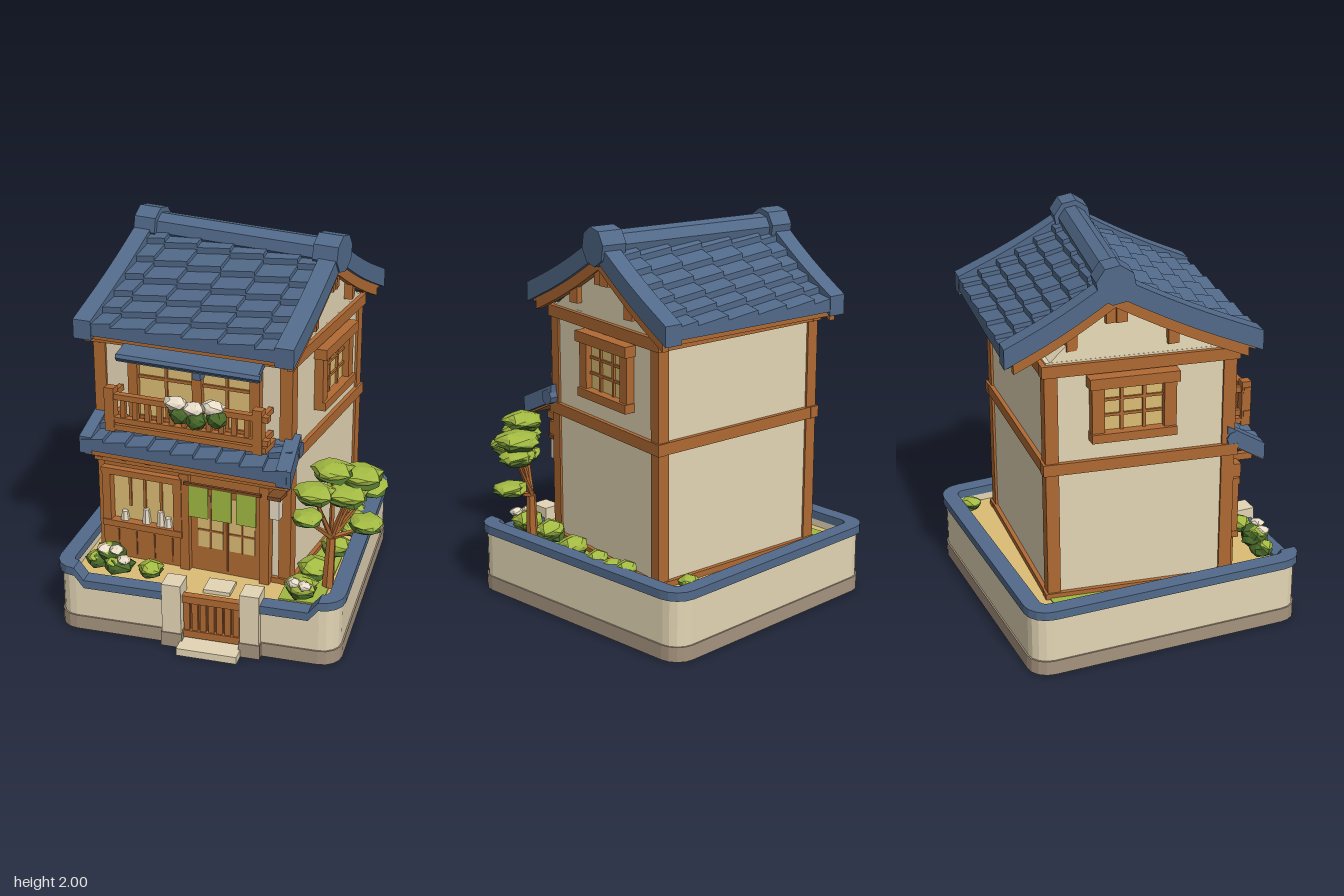
import * as THREE from 'three';
import { mergeGeometries } from 'three/addons/utils/BufferGeometryUtils.js';

const V = (x, y, z) => new THREE.Vector3(x, y, z);
const mat = (name, color) => {
  const m = new THREE.MeshStandardMaterial({ color });
  m.name = name;
  return m;
};

export function createModel() {
  const root = new THREE.Group();
  const blue = mat('roof blue', 0x526a8a), wood = mat('wood', 0xb06a33), darkWood = mat('dark wood', 0x7d4a24);
  const cream = mat('plaster', 0xe4d6b5), stone = mat('plinth stone', 0xa6947f), tan = mat('warm tan', 0xdcbd74);
  const leaf = mat('leaf green', 0xa2b942), deep = mat('deep green', 0x4a6a2a);
  const petal = mat('petal', 0xe8dcc6), earth = mat('dark earth', 0x573c27);

  const add = (name, m, geo) => {
    const flat = geo.index ? geo.toNonIndexed() : geo;
    flat.computeVertexNormals();
    const mesh = new THREE.Mesh(flat, m);
    mesh.name = name;
    root.add(mesh);
    return mesh;
  };
  // A box whose unit coordinates are bent by a rule f(x, y, z) -> Vector3
  const slab = (f) => {
    const g = new THREE.BoxGeometry(1, 1, 1).toNonIndexed(), p = g.attributes.position;
    for (let i = 0; i < p.count; i++) {
      const q = f(p.getX(i) + 0.5, p.getY(i) + 0.5, p.getZ(i) + 0.5);
      p.setXYZ(i, q.x, q.y, q.z);
    }
    return g;
  };
  const mix = THREE.MathUtils.lerp;
  const box = (name, m, x0, x1, y0, y1, z0, z1) =>
    add(name, m, slab((x, y, z) => V(mix(x0, x1, x), mix(y0, y1, y), mix(z0, z1, z))));
  const rod = (name, m, a, b, r0, r1 = r0, sides = 8) => {
    const d = b.clone().sub(a), g = new THREE.CylinderGeometry(r1, r0, d.length(), sides);
    g.applyQuaternion(new THREE.Quaternion().setFromUnitVectors(V(0, 1, 0), d.normalize()));
    g.translate((a.x + b.x) / 2, (a.y + b.y) / 2, (a.z + b.z) / 2);
    return add(name, m, g);
  };
  // House frame: turned and slightly skewed on its plot
  const H = (u, y, v) => V(-0.085 + u - 0.16 * v, y, -0.085 + 0.085 * u + v);
  const hbox = (name, m, u0, u1, y0, y1, v0, v1) =>
    add(name, m, slab((x, y, z) => H(mix(u0, u1, x), mix(y0, y1, y), mix(v0, v1, z))));
  const front = (name, m, x0, x1, y0, y1, d0, d1) =>
    hbox(name, m, x0 + 0.16, x1 + 0.16, y0, y1, 0.465 + d0, 0.465 + d1);
  const sides = (name, m, v0, v1, y0, y1, d0, d1) => {
    hbox(name, m, 0.52 + d0, 0.52 + d1, y0, y1, v0, v1);
    hbox(name, m, -0.52 - d1, -0.52 - d0, y0, y1, v0, v1);
  };

  // Plot wall: loop of [x, z, normal x, normal z, height]
  const loop = [[-0.18, 0.68, 0, 1, 0.3], [-0.65, 0.68, 0, 1, 0.3]];
  [[-0.7, 0.58], [-0.7, -0.66], [0.57, -0.66], [0.57, 0.58]].forEach(([cx, cz], k) => {
    for (let i = 0; i <= 4; i++) {
      const a = (k + 1 + i / 4) * Math.PI / 2, c = Math.cos(a), s = Math.sin(a);
      loop.push([cx + 0.1 * c, cz + 0.1 * s, c, s, 0.365]);
    }
  });
  loop.push([0.52, 0.68, 0, 1, 0.3], [0.22, 0.68, 0, 1, 0.3]);
  loop.forEach((p) => { p[0] = -0.065 + (p[0] + 0.065) * (0.978 + 0.032 * p[1]); });
  const wallRun = (name, m, out, inn, yb, yt) => add(name, m, mergeGeometries(
    loop.slice(1).map((b, i) => slab((x, y, z) => {
      const p = x ? b : loop[i], o = z ? inn : out;
      return V(p[0] + p[2] * o, y ? yt(p[4]) : yb(p[4]), p[1] + p[3] * o);
    }))));
  wallRun('plotWall', cream, 0, -0.06, () => 0.08, (h) => h - 0.04);
  wallRun('plotWallPlinth', stone, 0.008, -0.06, () => 0.003, () => 0.08);
  wallRun('plotWallCap', blue, 0.018, -0.065, (h) => h - 0.045, (h) => h);
  const under = new THREE.ShapeGeometry(new THREE.Shape(loop.map((p) => new THREE.Vector2(p[0], p[1]))));
  add('underside', earth, under.rotateX(Math.PI / 2));
  box('ground', tan, -0.74, 0.61, 0.01, 0.28, -0.72, 0.64);
  box('leftGrass', leaf, -0.66, -0.5, 0.278, 0.287, -0.59, -0.08);
  box('rightGrass', leaf, 0.34, 0.56, 0.278, 0.287, 0.0, 0.58);
  // Gate
  for (const x of [-0.18, 0.225]) {
    box('gatePillar', cream, x - 0.05, x + 0.05, 0.08, 0.355, 0.6, 0.715);
    box('gatePillarFoot', stone, x - 0.055, x + 0.055, 0, 0.08, 0.6, 0.72);
  }
  box('gateBacking', darkWood, -0.13, 0.18, 0.05, 0.26, 0.645, 0.665);
  for (const y of [0.05, 0.25]) box('gateRail', wood, -0.13, 0.18, y, y + 0.04, 0.65, 0.69);
  for (let i = 0; i < 7; i++) box('gateSlat', wood, -0.125 + i * 0.043, -0.094 + i * 0.043, 0.07, 0.26, 0.66, 0.682);
  box('gateStep', cream, -0.135, 0.18, 0, 0.04, 0.66, 0.79);
  box('pathStep', cream, -0.04, 0.1, 0.27, 0.3, 0.5, 0.62);

  // House body and timber frame
  hbox('houseWalls', cream, -0.51, 0.51, 0.27, 1.54, -0.455, 0.455);
  for (const u of [-0.49, 0.49]) for (const v of [-0.435, 0.435])
    hbox('cornerPost', wood, u - 0.032, u + 0.032, 0.27, 1.53, v - 0.032, v + 0.032);
  for (const [y0, y1] of [[0.27, 0.31], [0.96, 1.02], [1.47, 1.53]]) {
    sides('sideBeam', wood, -0.48, 0.48, y0, y1, -0.04, 0.012);
    hbox('backBeam', wood, -0.53, 0.53, y0, y1, -0.477, -0.43);
    hbox('frontBeam', wood, -0.53, 0.53, y0, y1, 0.43, 0.477);
  }
  // Side windows
  sides('sideWindowPane', tan, -0.2, 0.11, 1.17, 1.41, -0.02, 0.0);
  for (const v of [-0.22, 0.13]) sides('sideWindowJamb', wood, v - 0.03, v + 0.03, 1.13, 1.43, -0.02, 0.035);
  sides('sideWindowLintel', wood, -0.265, 0.17, 1.405, 1.46, -0.02, 0.055);
  sides('sideWindowSill', wood, -0.255, 0.16, 1.125, 1.17, -0.02, 0.05);
  for (const v of [-0.1, 0.01]) sides('sideWindowBar', wood, v - 0.008, v + 0.008, 1.17, 1.41, -0.01, 0.012);
  for (const y of [1.25, 1.33]) sides('sideWindowBar', wood, -0.21, 0.12, y - 0.007, y + 0.007, -0.01, 0.01);

  // Tiled slopes: s runs along the ridge, t down to the eave, h upwards
  const patch = (R0, R1, E0, E1, sag) => (s, t, h) => {
    const p = R0.clone().lerp(R1, s).lerp(E0.clone().lerp(E1, s), t);
    p.y += h - sag * Math.sin(Math.PI * Math.min(t, 1));
    return p;
  };
  const tiles = (name, P, cols, rows) => {
    const list = [];
    for (let i = 0; i < cols; i++) for (let j = 0; j < rows; j++)
      list.push(slab((x, y, z) => P((i + x) / cols, (j + z * 1.08) / rows,
        y * (0.02 + 0.034 * z + 0.022 * x))));
    add(name, blue, mergeGeometries(list));
  };
  const strip = (name, m, P, s0, s1, h0, h1, rows, t1 = 1) => add(name, m, mergeGeometries(
    Array.from({ length: rows }, (_, j) => slab((x, y, z) => P(mix(s0, s1, x), t1 * (j + z) / rows, y ? h1 : h0)))));

  const R0 = V(-0.6, 1.87, -0.26), R1 = V(0.48, 1.87, -0.05);
  const slopes = [
    patch(R0, R1, V(-0.73, 1.545, 0.43), V(0.39, 1.555, 0.555), 0.016),
    patch(R1, R0, V(0.585, 1.555, -0.63), V(-0.5, 1.56, -0.77), 0.016),
  ];
  slopes.forEach((P) => {
    tiles('roofTiles', P, 6, 6);
    strip('roofDeck', wood, P, 0.01, 0.99, -0.035, -0.002, 6, 0.98);
    for (const [a, b] of [[-0.01, 0.075], [0.925, 1.01]]) strip('vergeCap', blue, P, a, b, -0.02, 0.08, 6, 1.02);
    for (const [a, b] of [[0.008, 0.04], [0.96, 0.992]]) strip('bargeboard', wood, P, a, b, -0.08, -0.015, 6, 0.93);
  });
  const ridge = (k, y) => R0.clone().lerp(R1, k).setY(y);
  rod('ridge', blue, ridge(0.02, 1.9), ridge(0.98, 1.9), 0.075);
  rod('ridgeEndCap', blue, ridge(-0.01, 1.905), ridge(0.1, 1.905), 0.098);
  rod('ridgeEndCap', blue, ridge(0.9, 1.905), ridge(1.02, 1.905), 0.098);
  // Attic with gable ends
  add('atticGables', cream, slab((x, y, z) => y ? ridge(mix(0.045, 0.95, x), 1.83)
    : H(mix(-0.51, 0.51, x), 1.52, mix(-0.455, 0.455, z))));
  for (const P of slopes) for (const s of [0.05, 0.95]) for (const t of [0.04, 0.4]) {
    const c = P(s, t, -0.09);
    box('gableBracket', wood, c.x - 0.035, c.x + 0.035, c.y - 0.055, c.y + 0.05, c.z - 0.028, c.z + 0.028);
  }

  // Lower roof over the shop front
  const pent = patch(V(-0.67, 1.045, 0.3), V(0.38, 1.045, 0.39), V(-0.71, 0.94, 0.48), V(0.38, 0.945, 0.6), 0);
  tiles('lowerRoofTiles', pent, 9, 2);
  strip('lowerRoofDeck', wood, pent, 0.01, 0.99, -0.03, -0.002, 1);
  for (const [a, b] of [[-0.01, 0.05], [0.95, 1.02]]) strip('lowerVergeCap', blue, pent, a, b, -0.02, 0.07, 1, 1.03);
  rod('lowerRidge', blue, V(-0.69, 1.045, 0.335), V(0.41, 1.045, 0.42), 0.04);
  for (let i = 0; i < 8; i++) front('lowerRafter', wood, -0.62 + i * 0.13, -0.59 + i * 0.13, 0.89, 0.925, 0, 0.12);
  // Small tiled awning over the upper window
  const awning = patch(V(-0.5, 1.475, 0.34), V(0.22, 1.475, 0.41), V(-0.52, 1.44, 0.46), V(0.22, 1.44, 0.54), 0);
  strip('awning', blue, awning, 0, 1, -0.012, 0.025, 1);
  rod('awningEdge', blue, V(-0.52, 1.45, 0.45), V(0.23, 1.45, 0.53), 0.02, 0.02, 6);
  front('awningBracket', blue, -0.13, -0.09, 1.36, 1.44, 0.0, 0.05);

  // Upper window and balcony
  front('upperWindowPane', tan, -0.45, 0.17, 1.1, 1.43, -0.02, 0.003);
  for (const x of [-0.46, -0.12, 0.18]) front('upperWindowPost', wood, x - 0.025, x + 0.025, 1.05, 1.45, -0.02, 0.03);
  for (const x of [-0.29, 0.03]) front('upperWindowBar', wood, x - 0.007, x + 0.007, 1.1, 1.43, 0, 0.012);
  for (const y of [1.1, 1.32, 1.42]) front('upperWindowRail', wood, -0.47, 0.19, y - 0.008, y + 0.008, 0, 0.014);
  front('balconyFloor', wood, -0.56, 0.28, 1.06, 1.09, 0, 0.125);
  for (const y of [1.1, 1.225]) {
    front('balconyRail', wood, -0.57, 0.29, y, y + 0.03, 0.09, 0.125);
    for (const x of [-0.55, 0.24]) front('balconySideRail', wood, x, x + 0.025, y, y + 0.03, 0, 0.12);
  }
  for (const x of [-0.54, 0.235]) front('balconyPost', wood, x - 0.025, x + 0.025, 1.05, 1.285, 0.082, 0.128);
  for (let i = 1; i < 12; i++) front('baluster', wood, -0.55 + i * 0.065, -0.524 + i * 0.065, 1.1, 1.24, 0.096, 0.118);

  // Shop front
  front('shopFascia', wood, -0.68, 0.36, 0.83, 0.9, 0, 0.04);
  front('shopPanel', wood, -0.65, -0.17, 0.28, 0.47, 0, 0.025);
  for (let i = 0; i < 4; i++) front('panelGroove', darkWood, -0.57 + i * 0.1, -0.562 + i * 0.1, 0.3, 0.44, 0.02, 0.029);
  front('shopWindowPane', tan, -0.6, -0.24, 0.49, 0.77, 0, 0.008);
  for (const y of [0.465, 0.765]) front('shopWindowRail', wood, -0.64, -0.2, y, y + 0.035, 0, 0.055);
  for (const x of [-0.615, -0.225]) front('shopWindowJamb', wood, x - 0.022, x + 0.022, 0.47, 0.79, 0, 0.05);
  for (const x of [-0.5, -0.42, -0.33]) front('shopWindowBar', wood, x - 0.007, x + 0.007, 0.58, 0.77, 0, 0.016);
  for (const [x, h] of [[-0.53, 0.05], [-0.41, 0.08], [-0.33, 0.08], [-0.29, 0.05]]) {
    const c = H(x + 0.16, 0.5, 0.485);
    rod('bottle', petal, c, V(c.x, c.y + h, c.z), 0.024, 0.016, 6);
  }
  front('wallPanel', wood, -0.64, 0.26, 0.79, 0.84, 0, 0.018);
  front('doorLeaf', wood, -0.18, 0.24, 0.28, 0.8, 0, 0.016);
  for (const x of [-0.19, 0.24]) front('doorPost', wood, x - 0.025, x + 0.025, 0.28, 0.83, 0, 0.045);
  front('doorGap', darkWood, 0.024, 0.036, 0.3, 0.7, 0.01, 0.02);
  for (const x of [-0.125, 0.045]) {
    front('doorPane', tan, x, x + 0.135, 0.42, 0.72, 0.01, 0.021);
    front('doorPaneBar', wood, x + 0.063, x + 0.072, 0.42, 0.72, 0.015, 0.026);
    front('doorPaneBar', wood, x, x + 0.135, 0.515, 0.525, 0.015, 0.026);
  }
  front('curtainPole', darkWood, -0.18, 0.23, 0.785, 0.8, 0.055, 0.07);
  for (const x of [-0.155, -0.03, 0.1]) front('doorCurtain', leaf, x, x + 0.105, 0.61, 0.79, 0.058, 0.067);
  front('lamp', petal, 0.28, 0.33, 0.68, 0.79, 0.03, 0.075);
  front('lampCap', darkWood, 0.27, 0.34, 0.79, 0.81, 0.0, 0.085);

  // Foliage: lit crown over a darker skirt
  let seed = 7;
  const rnd = () => ((seed = (seed * 16807) % 2147483647) / 2147483647);
  const blob = (name, m, x, y, z, rx, ry, rz) => {
    const g = new THREE.IcosahedronGeometry(1, 1), p = g.attributes.position, k = rnd() * 9;
    for (let i = 0; i < p.count; i++) {
      const [a, b, c] = [p.getX(i), p.getY(i), p.getZ(i)];
      const j = 1 + 0.2 * Math.sin(5 * a + 7 * b + k) * Math.cos(6 * c + k);
      p.setXYZ(i, x + a * j * rx, y + b * j * ry, z + c * j * rz);
    }
    add(name, m, g);
  };
  const bush = (name, x, y, z, r, h = r * 0.6) => {
    blob(name, leaf, x, y + h * 0.3, z, r, h * 0.85, r);
    blob(name + 'Skirt', deep, x, y - h * 0.3, z, r * 0.95, h * 0.85, r * 0.95);
  };
  for (const [x, z, r] of [[0.55, -0.32, 0.055], [0.57, -0.24, 0.05], [0.56, -0.12, 0.06], [0.53, 0.09, 0.075],
    [0.47, 0.34, 0.08], [0.45, 0.54, 0.08], [0.45, -0.65, 0.05], [-0.33, 0.57, 0.06]])
    bush('bush', x, 0.345, z, r);
  // Flowering shrubs in front of the shop
  for (const [x, y, z, r] of [[-0.61, 0.35, 0.55, 0.07], [-0.5, 0.35, 0.575, 0.08], [-0.55, 0.395, 0.54, 0.08]]) {
    blob('shrub', deep, x, y, z, r, r * 0.6, r * 0.85);
    blob('shrubTip', leaf, x - 0.02, y + r * 0.3, z + 0.01, r * 0.6, r * 0.35, r * 0.6);
  }
  for (const [x, y, z] of [[-0.58, 0.43, 0.57], [-0.51, 0.435, 0.58], [-0.46, 0.4, 0.61], [0.42, 0.39, 0.58], [0.48, 0.39, 0.6]])
    blob('flower', petal, x, y, z, 0.035, 0.022, 0.035);
  // Balcony flowers
  for (const [x, y] of [[-0.19, 1.25], [-0.1, 1.23], [0, 1.25]]) {
    blob('balconyFlower', petal, x, y + 0.03, 0.55, 0.06, 0.035, 0.045);
    blob('balconyLeaves', deep, x + 0.02, y - 0.025, 0.56, 0.05, 0.05, 0.035);
  }
  // Tree
  const fork = V(0.56, 0.56, 0.38);
  rod('treeTrunk', wood, V(0.55, 0.28, 0.39), fork, 0.032, 0.024, 6);
  for (const [x, y, z, r] of [[0.57, 0.95, 0.42, 0.1], [0.69, 0.89, 0.32, 0.11], [0.5, 0.86, 0.51, 0.1],
    [0.73, 0.64, 0.34, 0.085], [0.47, 0.73, 0.52, 0.075], [0.64, 0.83, 0.42, 0.11], [0.73, 0.82, 0.28, 0.09]]) {
    rod('treeBranch', wood, fork, V(x, y - 0.02, z), 0.016, 0.008, 5);
    bush('treeCrown', x, y, z, r, r * 0.4);
  }
  return root;
}
